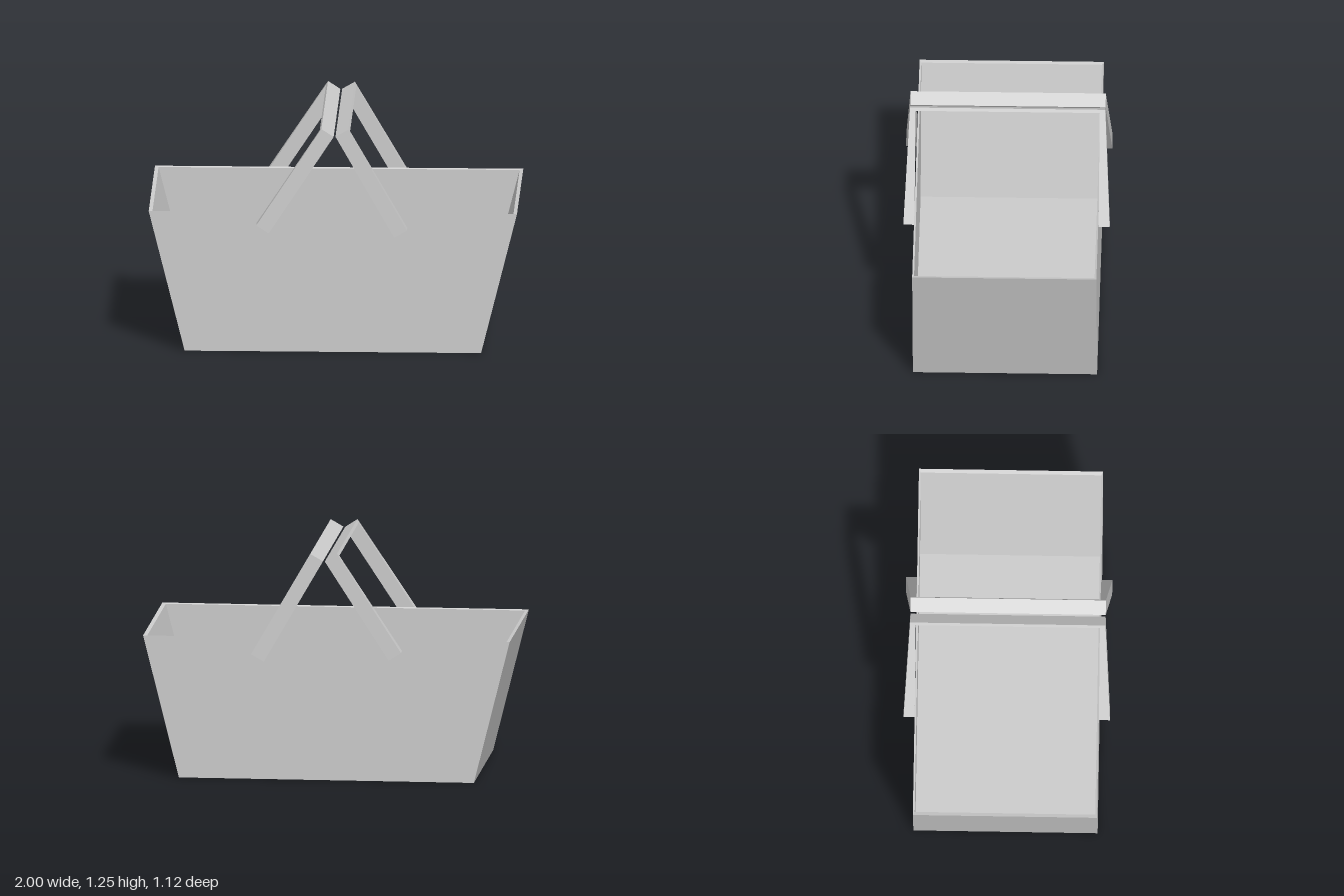
import * as THREE from 'three';

const material = new THREE.MeshStandardMaterial({ color: 0xcccccc, flatShading: true });

// Hollow tapered tub: rectangular rings [halfX, y, halfZ] joined up the outside and down the inside
function tubGeometry(rings) {
  const corners = rings.map(([x, y, z]) => [[x, y, z], [x, y, -z], [-x, y, -z], [-x, y, z]]);
  const pos = [];
  const quad = (a, b, c, d) => pos.push(...a, ...b, ...c, ...a, ...c, ...d);
  for (let r = 0; r < corners.length - 1; r++) {
    const low = corners[r], high = corners[r + 1];
    for (let i = 0; i < 4; i++) {
      const j = (i + 1) % 4;
      quad(low[i], low[j], high[j], high[i]);
    }
  }
  quad(...[...corners[0]].reverse()); // underside
  quad(...corners[corners.length - 1]); // inner floor
  const geometry = new THREE.BufferGeometry();
  geometry.setAttribute('position', new THREE.Float32BufferAttribute(pos, 3));
  geometry.computeVertexNormals();
  return geometry;
}

// U-shaped handle with legs that thicken towards the free ends, leaning from base to top
function makeHandle(name, baseX, baseY, topX, topY) {
  const dx = topX - baseX, dy = topY - baseY;
  const length = Math.hypot(dx, dy), width = 0.08, bar = 0.018;
  const outline = [
    [-0.56, 0], [-0.5, 0], [-0.5, length - bar], [0.5, length - bar],
    [0.5, 0], [0.56, 0], [0.53, length], [-0.53, length],
  ].map(([x, y]) => new THREE.Vector2(x, y));
  const geometry = new THREE.ExtrudeGeometry(new THREE.Shape(outline), { depth: width, bevelEnabled: false });
  geometry.translate(0, 0, -width / 2).rotateY(-Math.PI / 2);
  const handle = new THREE.Mesh(geometry, material);
  handle.name = name;
  handle.position.set(baseX, baseY, 0);
  handle.rotation.z = -Math.atan2(dx, dy);
  return handle;
}

export function createModel() {
  const group = new THREE.Group();
  group.name = 'basket';

  const tub = new THREE.Mesh(tubGeometry([
    [0.805, 0, 0.5], [1, 0.78, 0.5], [0.98, 0.775, 0.49], [0.787, 0.015, 0.49],
  ]), material);
  tub.name = 'tub';
  group.add(tub);

  group.add(makeHandle('rightHandle', -0.38, 0.698, -0.028, 1.233));
  group.add(makeHandle('leftHandle', 0.37, 0.678, 0.05, 1.232));
  return group;
}
